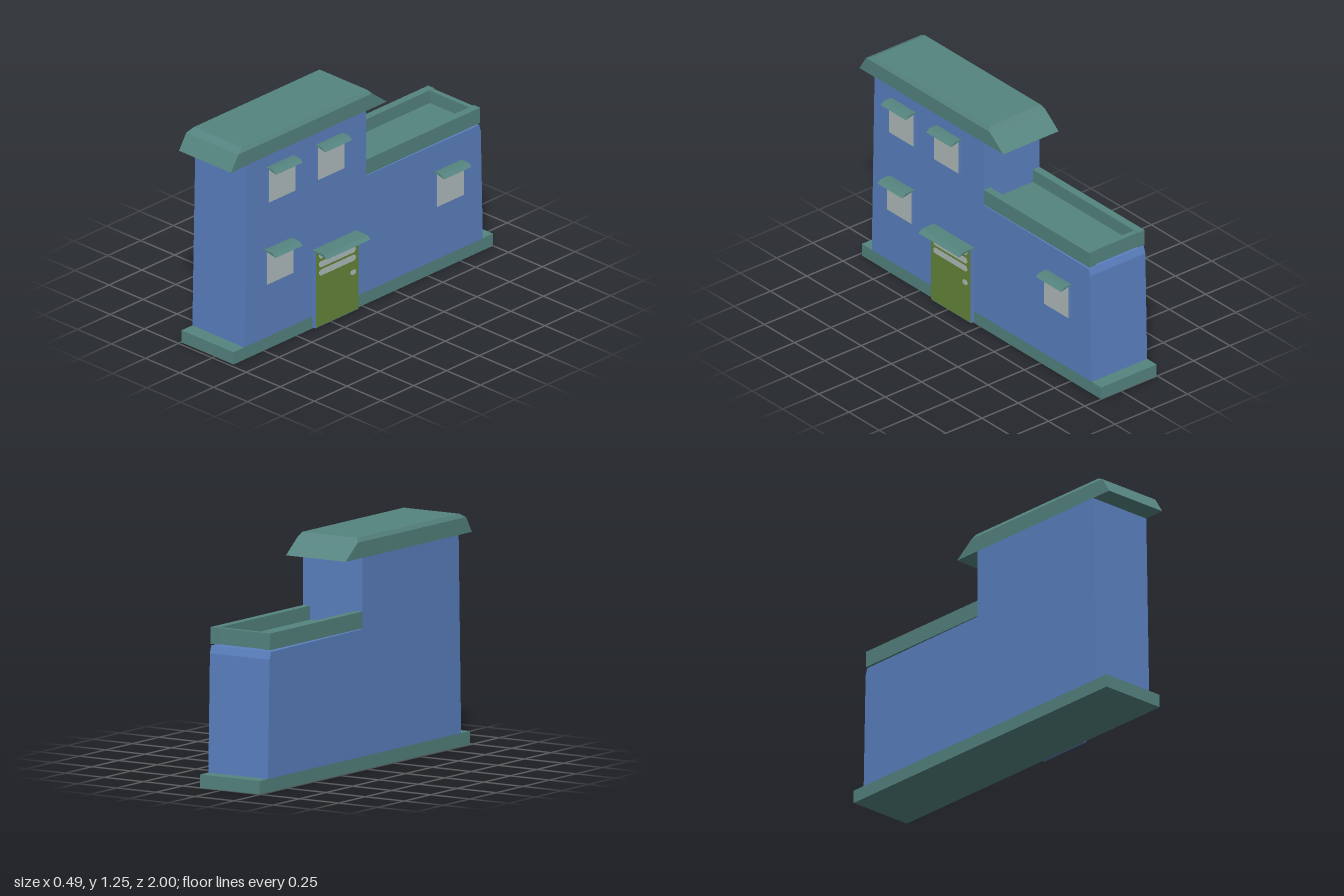
import * as THREE from 'three';

const mat = (name, color, side = THREE.FrontSide) => {
  const m = new THREE.MeshStandardMaterial({ color, side });
  m.name = name;
  return m;
};

export function createModel() {
  const house = new THREE.Group();
  house.name = 'house';
  const wall = mat('blue wall', 0x5b81c1);
  const trim = mat('teal trim', 0x558480);
  const glass = mat('pale grey', 0xb2bdbd);
  const green = mat('door green', 0x65873a);
  const X0 = -0.245, X1 = 0.137;

  const add = (name, geo, material, parent = house) => {
    const m = new THREE.Mesh(geo, material);
    m.name = name;
    parent.add(m);
    return m;
  };
  // box given by its limits
  const box = (name, x0, x1, y0, y1, z0, z1, material, parent) =>
    add(name, new THREE.BoxGeometry(x1 - x0, y1 - y0, z1 - z0)
      .translate((x0 + x1) / 2, (y0 + y1) / 2, (z0 + z1) / 2), material, parent);
  const shape = pts => new THREE.Shape(pts.map(p => new THREE.Vector2(...p)));
  const extrude = (s, depth) => new THREE.ExtrudeGeometry(s, { depth, bevelEnabled: false });

  // plinth
  box('plinth', X0, X1, 0, 0.072, -1, 0.98, trim);

  // stepped, slightly tapering walls: side outline in (z, y) extruded across x
  const outline = [[-0.922, 0.072], [0.898, 0.072], [0.875, 1.14], [-0.03, 1.14],
    [-0.03, 0.756], [-0.895, 0.75], [-0.907, 0.71]];
  add('walls', extrude(shape(outline), X1 - X0).rotateY(-Math.PI / 2).translate(X1, 0, 0), wall);

  // main roof: stacked rectangles with flared eaves and chamfered top edges
  const rings = [[1.138, -0.19, 1, 0], [1.225, -0.078, 0.945, 0], [1.248, -0.058, 0.9, 0.014]];
  const pos = [], idx = [];
  for (const [y, z0, z1, inset] of rings) {
    const a = X0 + inset, b = X1 - inset;
    pos.push(a, y, z1, b, y, z1, b, y, z0, a, y, z0);
  }
  for (let r = 0; r < rings.length - 1; r++) {
    for (let i = 0; i < 4; i++) {
      const a = r * 4 + i, b = r * 4 + (i + 1) % 4;
      idx.push(a, b, b + 4, a, b + 4, a + 4);
    }
  }
  const t = (rings.length - 1) * 4;
  idx.push(0, 2, 1, 0, 3, 2, t, t + 1, t + 2, t, t + 2, t + 3);
  let roof = new THREE.BufferGeometry();
  roof.setAttribute('position', new THREE.Float32BufferAttribute(pos, 3));
  roof.setIndex(idx);
  roof = roof.toNonIndexed();
  roof.computeVertexNormals();
  add('mainRoof', roof, trim);

  // terrace with parapet on the low wing
  const terrace = new THREE.Group();
  terrace.name = 'terrace';
  house.add(terrace);
  box('terraceFloor', X0 + 0.04, X1 - 0.04, 0.758, 0.775, -0.88, -0.03, trim, terrace);
  box('parapetLeft', X1 - 0.045, X1, 0.76, 0.85, -0.902, -0.03, trim, terrace);
  box('parapetRight', X0, X0 + 0.045, 0.76, 0.85, -0.902, -0.03, trim, terrace);
  box('parapetEnd', X0 + 0.045, X1 - 0.045, 0.762, 0.848, -0.896, -0.866, trim, terrace);

  // small sloping canopy, profile in (x, y) extruded along z
  const canopy = (name, face, reach, top, z0, z1, parent) => {
    const s = shape([[X1, top], [X1, top - 0.005], [face, top - 0.005],
      [reach, top - 0.018], [reach - 0.022, top], [face, top + 0.002]]);
    add(name, extrude(s, z1 - z0).translate(0, 0, z0), trim, parent);
  };

  // windows: [z0, z1, y0, y1, canopy reach]
  const windows = [[0.53, 0.73, 0.875, 1.075, 0.212], [0.155, 0.355, 0.875, 1.075, 0.212],
    [0.545, 0.745, 0.395, 0.594, 0.224], [-0.755, -0.553, 0.395, 0.594, 0.212]];
  for (const [z0, z1, y0, y1, reach] of windows) {
    const g = new THREE.Group();
    g.name = 'window';
    house.add(g);
    box('windowFrame', X1 - 0.01, 0.157, y0, y1 - 0.004, z0, z1, wall, g);
    box('windowPane', 0.156, 0.159, y0, y1 - 0.006, z0, z1, glass, g);
    canopy('windowCanopy', 0.159, reach, y1, z0 - 0.003, z1 + 0.003, g);
  }

  // door
  const door = new THREE.Group();
  door.name = 'door';
  house.add(door);
  box('doorFrame', X1 - 0.01, 0.16, 0.008, 0.458, 0.05, 0.378, wall, door);
  box('doorPanel', 0.159, 0.163, 0.012, 0.456, 0.053, 0.375, green, door);
  canopy('doorCanopy', 0.163, 0.246, 0.462, 0.046, 0.38, door);

  // painted door slats with rounded ends, and a handle plate
  const plate = (name, y, z0, z1, h) => {
    const r = h / 2, s = new THREE.Shape();
    s.absarc(z1 - r, y, r, -Math.PI / 2, Math.PI / 2);
    s.absarc(z0 + r, y, r, Math.PI / 2, Math.PI * 1.5);
    const geo = new THREE.ExtrudeGeometry(s, { depth: 0.003, bevelEnabled: false, curveSegments: 6 });
    add(name, geo.rotateY(-Math.PI / 2).translate(0.165, 0, 0), glass, door);
  };
  for (const y of [0.426, 0.374, 0.325]) plate('doorSlat', y, 0.076, 0.355, 0.034);
  plate('doorHandle', 0.24, 0.073, 0.115, 0.028);

  return house;
}
